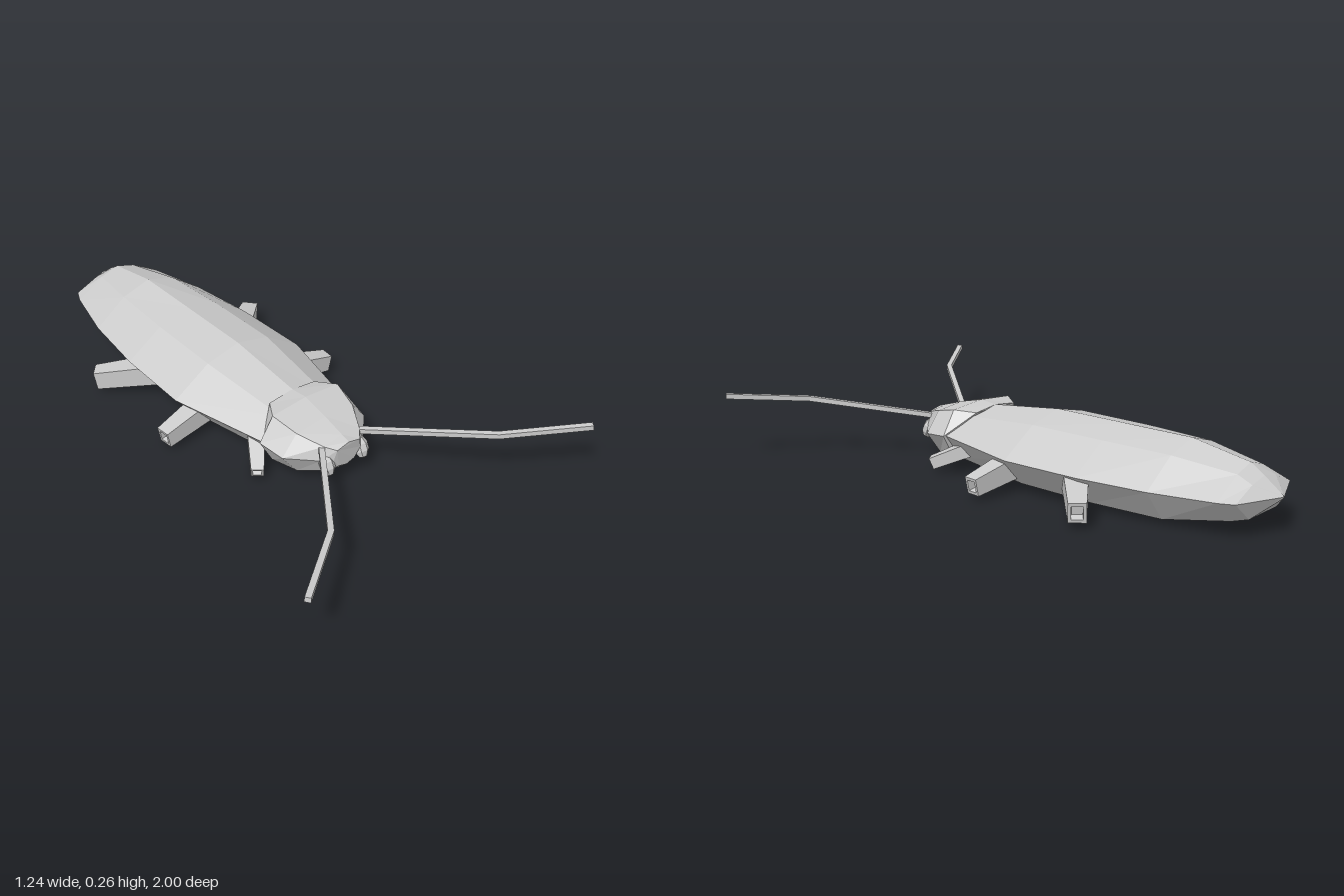
import * as THREE from 'three';

const material = new THREE.MeshStandardMaterial({ color: 0xcccccc, flatShading: true });
const V = (x, y, z) => new THREE.Vector3(x, y, z);
const CX = 0.006;

// Skin a list of rings (clockwise seen from the start) and cap both ends
function loft(name, rings) {
  const pos = [];
  const tri = (...p) => p.forEach(v => pos.push(v.x, v.y, v.z));
  const n = rings[0].length;
  for (let i = 0; i < rings.length - 1; i++) {
    for (let j = 0; j < n; j++) {
      const k = (j + 1) % n;
      const [a, b, c, d] = [rings[i][j], rings[i][k], rings[i + 1][j], rings[i + 1][k]];
      tri(a, b, c);
      tri(b, d, c);
    }
  }
  const first = rings[0], last = rings[rings.length - 1];
  for (let j = 1; j < n - 1; j++) {
    tri(first[0], first[j + 1], first[j]);
    tri(last[0], last[j], last[j + 1]);
  }
  const g = new THREE.BufferGeometry();
  g.setAttribute('position', new THREE.Float32BufferAttribute(pos, 3));
  g.computeVertexNormals();
  const mesh = new THREE.Mesh(g, material);
  mesh.name = name;
  return mesh;
}

// Square-section ring around a point, facing along dir
function squareRing(p, dir, halfW, halfH) {
  const d = dir.clone().normalize();
  const s = d.clone().cross(V(0, 1, 0)).normalize();
  const u = s.clone().cross(d);
  return [[-1, 1], [1, 1], [1, -1], [-1, -1]].map(([a, b]) =>
    p.clone().addScaledVector(s, a * halfW).addScaledVector(u, b * halfH));
}

// Tapered leg with a small socket in its end
function leg(name, from, to, w0, h0, w1, h1) {
  const dir = to.clone().sub(from);
  const inner = to.clone().addScaledVector(dir.clone().normalize(), -0.03);
  return loft(name, [
    squareRing(from, dir, w0, h0),
    squareRing(to, dir, w1, h1),
    squareRing(to, dir, w1 * 0.65, h1 * 0.65),
    squareRing(inner, dir, w1 * 0.6, h1 * 0.6),
  ]);
}

export function createModel() {
  const model = new THREE.Group();
  model.name = 'cockroach';

  // Body: z, half width, ridge, shoulder x, shoulder y, belly half width, belly y
  const body = [
    [0.27, 0.19, 0.215, 0.10, 0.19, 0.12, 0.035],
    [-0.10, 0.28, 0.257, 0.135, 0.225, 0.19, 0.028],
    [-0.40, 0.272, 0.257, 0.13, 0.225, 0.185, 0.024],
    [-0.66, 0.24, 0.257, 0.115, 0.222, 0.155, 0.02],
    [-0.88, 0.185, 0.218, 0.075, 0.195, 0.10, 0.05],
    [-0.93, 0.162, 0.185, 0.07, 0.17, 0.08, 0.062],
    [-1.00, 0.004, 0.134, 0.002, 0.132, 0.002, 0.126],
  ].map(([z, w, t, sx, sy, bw, b]) => [
    [0, t], [sx, sy], [w, 0.13], [bw, b], [-bw, b], [-w, 0.13], [-sx, sy],
  ].map(([x, y]) => V(CX + x, y, z)));
  model.add(loft('body', body));

  // Head shield: z at top, z at sides and below, then section sizes
  const head = [
    [0.49, 0.485, 0.05, 0.16, 0.06, 0.12, 0.035, 0.085, 0.075],
    [0.455, 0.46, 0.08, 0.17, 0.095, 0.12, 0.06, 0.06, 0.05],
    [0.37, 0.37, 0.125, 0.195, 0.185, 0.12, 0.12, 0.035, 0.005],
    [0.27, 0.27, 0.145, 0.218, 0.2, 0.13, 0.145, 0.032, 0.0],
    [0.2, 0.262, 0.10, 0.21, 0.18, 0.13, 0.13, 0.045, 0.02],
  ].map(([zt, zl, tw, t, w, m, bw, by, b]) => [
    [-tw, t, zt], [0, t + 0.012, zt], [tw, t, zt], [w, m, zl],
    [bw, by, zl], [0, b, zl], [-bw, by, zl], [-w, m, zl],
  ].map(([x, y, z]) => V(CX + x, y, z)));
  model.add(loft('head', head));

  for (const s of [1, -1]) {
    const side = s > 0 ? 'left' : 'right';
    const P = (x, y, z) => V(CX + s * x, y, z);

    // Legs
    model.add(leg(side + 'FrontLeg', P(0.12, 0.11, 0.15), P(0.232, 0.035, 0.298), 0.034, 0.026, 0.022, 0.021));
    model.add(leg(side + 'MiddleLeg', P(0.16, 0.095, -0.058), P(0.375, 0.05, -0.04), 0.04, 0.04, 0.027, 0.031));
    model.add(leg(side + 'RearLeg', P(0.17, 0.10, -0.32), P(0.364, 0.055, -0.487), 0.046, 0.04, 0.03, 0.035));

    // Eye
    const eye = new THREE.Mesh(new THREE.SphereGeometry(0.03, 7, 5), material);
    eye.name = side + 'Eye';
    eye.scale.set(0.95, 1.4, 0.9);
    eye.rotation.x = -0.45;
    eye.position.copy(P(0.076, 0.102, 0.47));
    model.add(eye);

    // Antenna with one bend
    const path = [P(0.06, 0.152, 0.42), P(0.368, 0.215, 0.81), P(0.615, 0.24, 0.99)];
    const dirs = [path[1].clone().sub(path[0]), path[2].clone().sub(path[0]), path[2].clone().sub(path[1])];
    model.add(loft(side + 'Antenna', path.map((p, i) => squareRing(p, dirs[i], 0.01, 0.009))));
  }
  return model;
}
